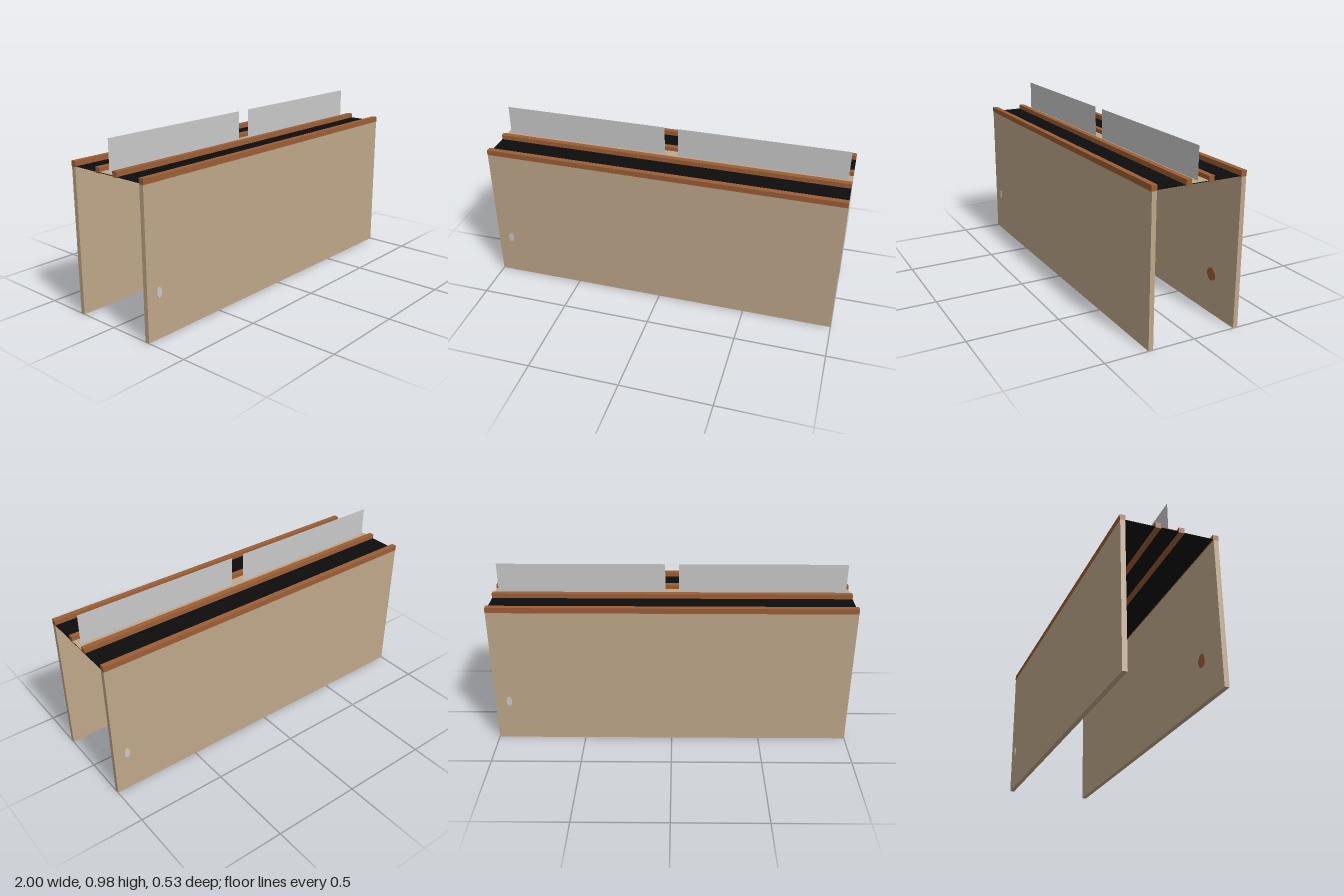
import * as THREE from 'three';

export function createModel() {
  const model = new THREE.Group();
  model.name = 'doubleSidedCounter';

  const mat = (name, color, side = THREE.FrontSide) => {
    const m = new THREE.MeshStandardMaterial({ color, side });
    m.name = name;
    return m;
  };
  const tan = mat('tanBoard', 0xbea789);
  const brown = mat('brownWood', 0x9b5e36);
  const black = mat('blackBelt', 0x0d0d0d, THREE.DoubleSide);
  const grey = mat('greyPanel', 0xc8c8c8, THREE.DoubleSide);
  const tanSheet = mat('tanStrip', 0xbea789, THREE.DoubleSide);

  const add = (parent, name, geometry, material, x, y, z) => {
    const mesh = new THREE.Mesh(geometry, material);
    mesh.name = name;
    mesh.position.set(x, y, z);
    parent.add(mesh);
    return mesh;
  };

  const boardGeo = new THREE.BoxGeometry(2, 0.798, 0.026);
  const railGeo = new THREE.BoxGeometry(2, 0.03, 0.03);
  const discGeo = new THREE.CylinderGeometry(0.036, 0.036, 0.003, 10).rotateX(Math.PI / 2);
  const knobGeo = new THREE.CylinderGeometry(1, 1, 0.003, 20).rotateX(Math.PI / 2).scale(0.016, 0.028, 1);

  // Two identical halves, the second turned half way round
  for (const [name, turn] of [['frontHalf', 0], ['backHalf', Math.PI]]) {
    const half = new THREE.Group();
    half.name = name;
    half.rotation.y = turn;
    add(half, 'sideBoard', boardGeo, tan, 0, 0.399, 0.25);
    add(half, 'outerRail', railGeo, brown, 0, 0.813, 0.25);
    add(half, 'innerRail', railGeo, brown, 0, 0.813, 0.063);
    add(half, 'outerKnob', knobGeo, grey, -0.922, 0.243, 0.264);
    add(half, 'innerDisc', discGeo, brown, -0.8, 0.22, 0.236);
    model.add(half);
  }

  // Thin belt surface with a lighter strip along the middle
  const sheet = (depth) => new THREE.PlaneGeometry(2, depth).rotateX(-Math.PI / 2);
  add(model, 'beltSurface', sheet(0.5), black, 0, 0.802, 0);
  add(model, 'middleStrip', sheet(0.1), tanSheet, 0, 0.806, 0);

  // Upright divider panels on the centre line
  for (const s of [-1, 1]) {
    add(model, s > 0 ? 'leftDivider' : 'rightDivider', new THREE.PlaneGeometry(0.94, 0.169), grey, s * 0.508, 0.8905, 0);
  }

  return model;
}
